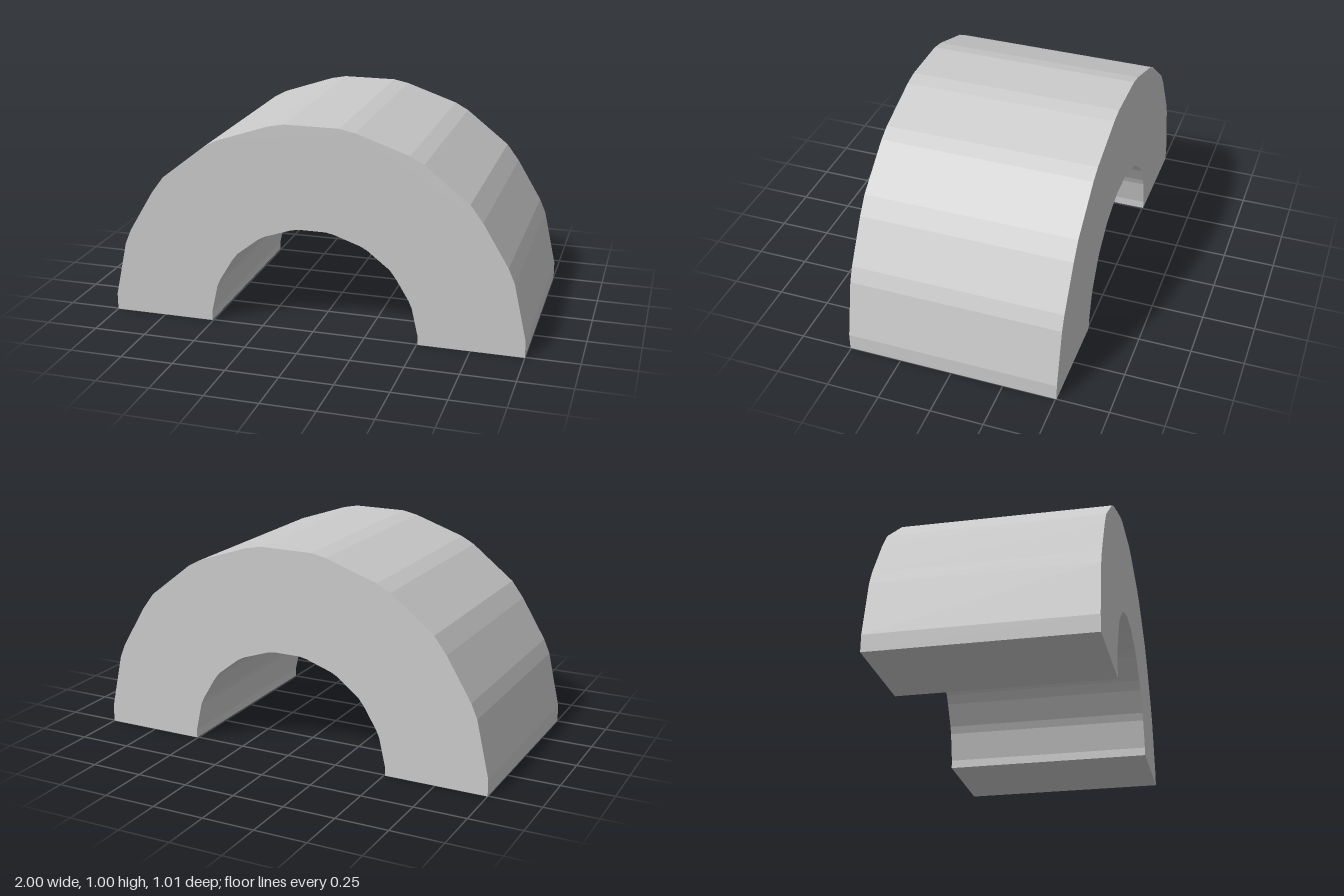
import * as THREE from 'three';

export function createModel() {
  const group = new THREE.Group();
  const depth = 1.01;
  const innerScale = 0.505;

  // Left half of the faceted arc, from the foot up to the crown
  const half = [
    [1, 0], [1, 0.08], [0.94, 0.35], [0.91, 0.42], [0.79, 0.62], [0.73, 0.7],
    [0.52, 0.865], [0.455, 0.9], [0.205, 0.985], [0.13, 1],
  ];
  const mirrored = half.map(([x, y]) => [-x, y]).reverse();
  const arc = [...half, ...mirrored].map(([x, y]) => new THREE.Vector2(x, y));

  // Outer arc, then the smaller arc back underneath it
  const inner = arc.map((p) => p.clone().multiplyScalar(innerScale)).reverse();
  const profile = new THREE.Shape([...arc, ...inner]);

  const geometry = new THREE.ExtrudeGeometry(profile, { depth, bevelEnabled: false });
  geometry.translate(0, 0, -depth / 2);

  const arch = new THREE.Mesh(
    geometry,
    new THREE.MeshStandardMaterial({ color: 0xcccccc, flatShading: true }),
  );
  arch.name = 'arch';
  group.add(arch);
  return group;
}
